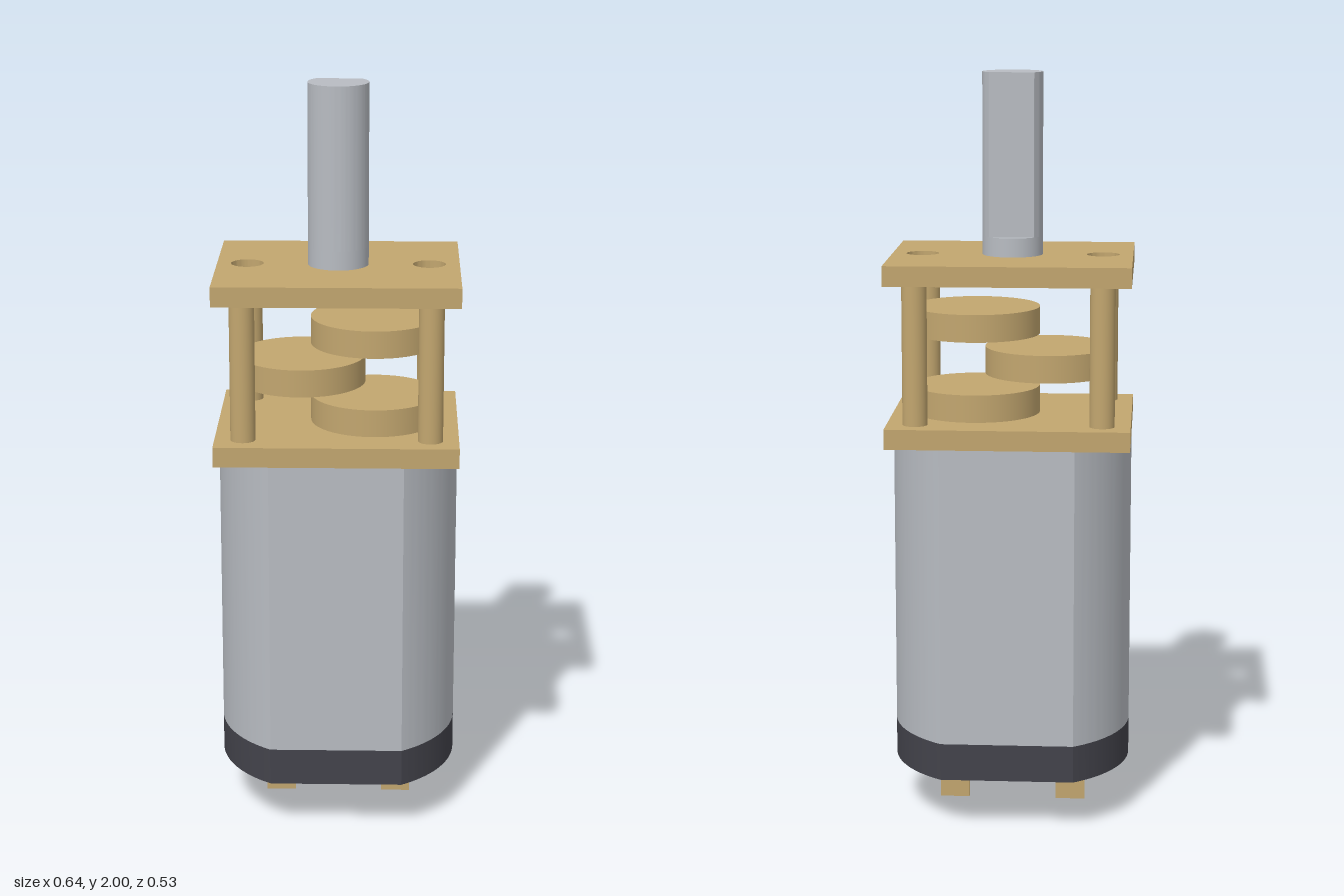
import * as THREE from 'three';
import { toCreasedNormals } from 'three/addons/utils/BufferGeometryUtils.js';

export function createModel() {
  const model = new THREE.Group();
  model.name = 'gearMotor';

  const material = (name, color) => {
    const m = new THREE.MeshStandardMaterial({ color });
    m.name = name;
    return m;
  };
  const steel = material('steel', 0xb8bcc2);
  const brass = material('brass', 0xc2a66f);
  const plastic = material('darkPlastic', 0x43434b);

  const add = (name, geometry, mat, x = 0, y = 0, z = 0) => {
    const mesh = new THREE.Mesh(geometry, mat);
    mesh.name = name;
    mesh.position.set(x, y, z);
    model.add(mesh);
    return mesh;
  };

  // Extrudes a plan outline upward from y0 to y1 (outline y becomes -z)
  const upright = (shape, y0, y1) => {
    const g = new THREE.ExtrudeGeometry(shape, { depth: y1 - y0, bevelEnabled: false, curveSegments: 32 });
    g.rotateX(-Math.PI / 2);
    g.translate(0, y0, 0);
    return toCreasedNormals(g, 0.4);
  };

  const W = 0.32, D = 0.267;

  // Motor can: a round outline with two flats
  const a = Math.asin(D / W);
  const canShape = new THREE.Shape();
  canShape.absarc(0, 0, W, -a, a, false);
  canShape.absarc(0, 0, W, Math.PI - a, Math.PI + a, false);
  canShape.closePath();
  add('motorCan', upright(canShape, 0.24, 1.04), steel);
  add('endCap', upright(canShape, 0.14, 0.24), plastic);

  // Gearbox plates, the upper one with two screw holes
  add('lowerPlate', new THREE.BoxGeometry(2 * W, 0.053, 2 * D), brass, 0, 1.0665, 0);
  const plate = new THREE.Shape([
    new THREE.Vector2(-W, -D), new THREE.Vector2(W, -D),
    new THREE.Vector2(W, D), new THREE.Vector2(-W, D),
  ]);
  for (const s of [-1, 1]) {
    const hole = new THREE.Path();
    hole.absarc(s * 0.24, 0, 0.043, 0, Math.PI * 2, true);
    plate.holes.push(hole);
  }
  add('upperPlate', upright(plate, 1.467, 1.52), brass);

  // Corner posts and terminals
  for (const sx of [-1, 1]) {
    for (const sz of [-1, 1]) {
      add('post', new THREE.CylinderGeometry(0.033, 0.033, 0.376, 32), brass, sx * 0.245, 1.28, sz * 0.193);
    }
    add('terminal', new THREE.BoxGeometry(0.08, 0.14, 0.018), brass, sx * 0.16, 0.07, 0);
  }

  // Staggered gear discs
  [[0.097, 1.131], [-0.097, 1.238], [0.097, 1.344]].forEach(([x, y]) =>
    add('gear', new THREE.CylinderGeometry(0.17, 0.17, 0.073, 64), brass, x, y, 0));

  // Output shaft: round foot, then a D section with its flat at the back
  const R = 0.08, b = Math.asin(0.054 / R);
  add('shaftFoot', new THREE.CylinderGeometry(R, R, 0.05, 48), steel, 0, 1.545, 0);
  const dShape = new THREE.Shape();
  dShape.absarc(0, 0, R, Math.PI - b, Math.PI * 2 + b, false);
  dShape.closePath();
  add('shaft', upright(dShape, 1.57, 2), steel);

  return model;
}
